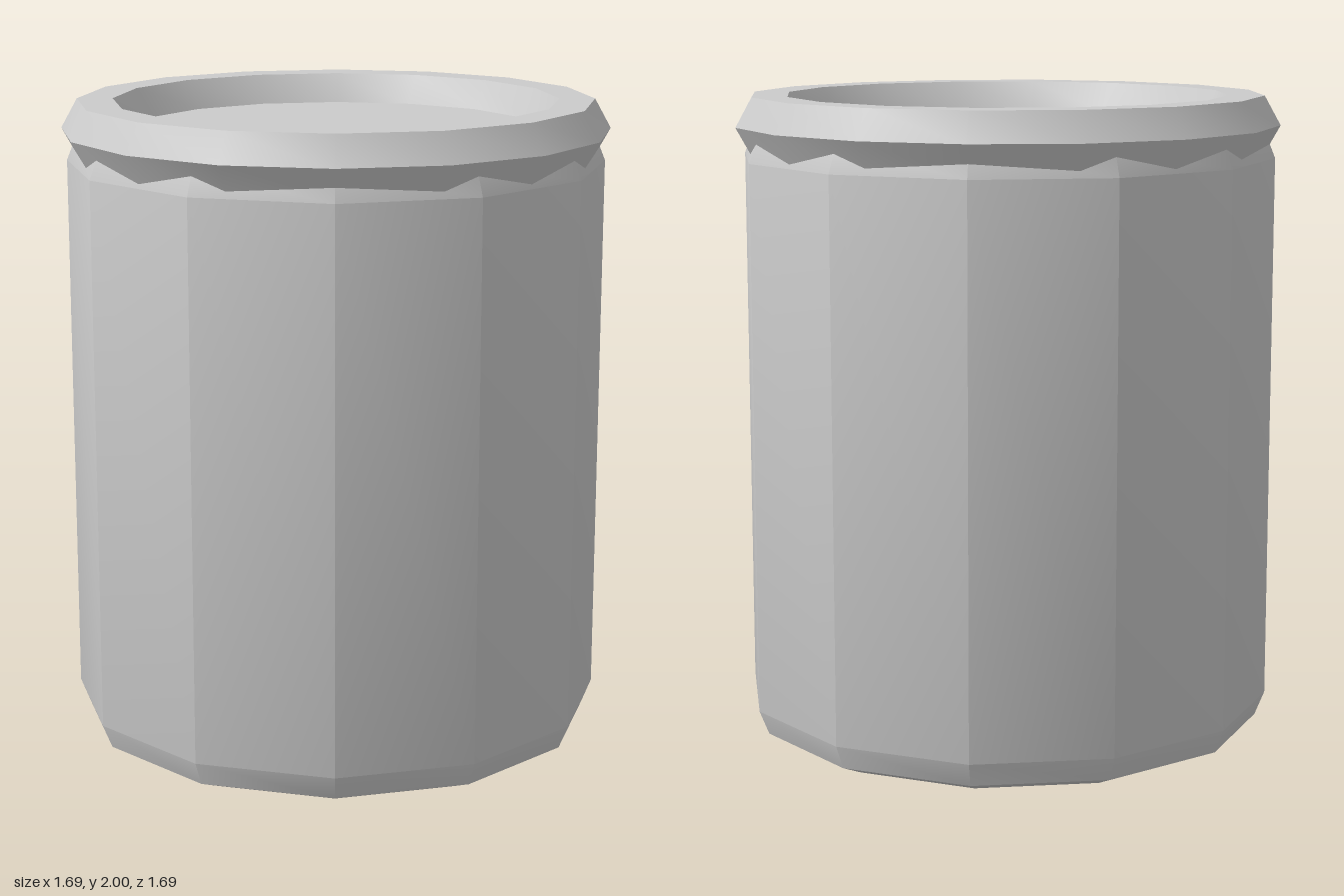
import * as THREE from 'three';
import { toCreasedNormals } from 'three/addons/utils/BufferGeometryUtils.js';

const material = new THREE.MeshStandardMaterial({ color: 0xcccccc });

// Turns a [radius, height] profile, listed from the bottom up, into a faceted solid
function turned(name, profile, sides) {
  const points = profile.map(([r, y]) => new THREE.Vector2(r, y));
  const geometry = toCreasedNormals(new THREE.LatheGeometry(points, sides), 0.61);
  const mesh = new THREE.Mesh(geometry, material);
  mesh.name = name;
  return mesh;
}

export function createModel() {
  const group = new THREE.Group();
  group.name = 'jar';

  // Twelve-sided body, chamfered at the foot and at the shoulder
  group.add(turned('body', [
    [0, 0], [0.72, 0], [0.8, 0.035], [0.83, 0.11],
    [0.83, 1.81], [0.8, 1.885], [0, 1.885],
  ], 12));

  // Sixteen-sided lid with a pointed rim and a sunken top
  group.add(turned('lid', [
    [0, 1.82], [0.795, 1.82], [0.845, 1.91], [0.795, 2],
    [0.685, 2], [0.635, 1.91], [0, 1.91],
  ], 16));

  return group;
}
